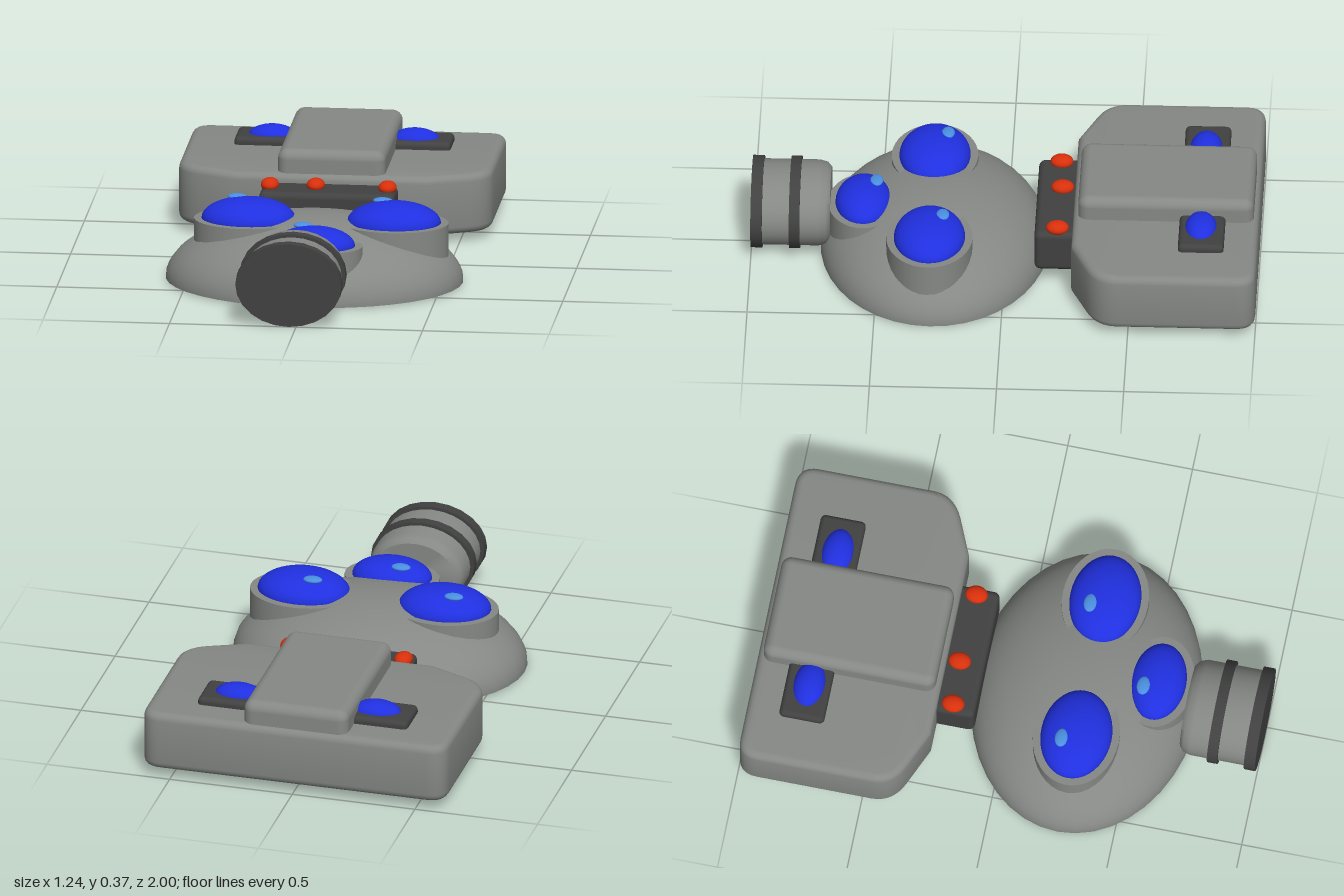
import * as THREE from 'three';
import { toCreasedNormals } from 'three/addons/utils/BufferGeometryUtils.js';
import { RoundedBoxGeometry } from 'three/addons/geometries/RoundedBoxGeometry.js';

const paint = (name, color) => {
  const m = new THREE.MeshStandardMaterial({ color });
  m.name = name;
  return m;
};

export function createModel() {
  const grey = paint('hull grey', 0x858884);
  const dark = paint('dark trim', 0x414141);
  const blue = paint('blue glass', 0x2030e0);
  const shine = paint('glass highlight', 0x4a8fe0);
  const red = paint('red lamp', 0xd8300c);

  const model = new THREE.Group();
  const add = (name, geometry, material, x, y, z, parent = model) => {
    const mesh = new THREE.Mesh(geometry, material);
    mesh.name = name;
    mesh.position.set(x, y, z);
    parent.add(mesh);
    return mesh;
  };
  const ellipsoid = (rx, ry, rz) => new THREE.SphereGeometry(1, 32, 20).scale(rx, ry, rz);
  // Upper half of an ellipsoid, closed underneath by a flat disc
  const halfEllipsoid = (name, material, rx, ry, rz, x, y, z, parent) => {
    const g = new THREE.SphereGeometry(1, 40, 16, 0, Math.PI * 2, 0, Math.PI / 2);
    add(name, g.scale(rx, ry, rz), material, x, y, z, parent);
  };

  // Domed head
  halfEllipsoid('headDome', grey, 0.587, 0.26, 0.45, -0.005, 0.01, 0.28);
  const base = new THREE.CircleGeometry(1, 40).rotateX(Math.PI / 2).scale(0.587, 1, 0.45);
  add('headBase', base, grey, -0.005, 0.01, 0.28);

  // Three bulging eyes in raised oval sockets
  const eye = (name, x, z, top, rx, rz, ry) => {
    const group = new THREE.Group();
    group.name = name;
    group.position.set(x, top, z);
    model.add(group);
    const depth = 0.16;
    const socket = new THREE.CylinderGeometry(1, 1, depth, 36).scale(rx + 0.03, 1, rz + 0.03);
    add(name + 'Socket', socket, grey, 0, -depth / 2, 0, group);
    halfEllipsoid(name + 'Lens', blue, rx, ry, rz, 0, 0, 0, group);
    add(name + 'Highlight', ellipsoid(0.038, 0.012, 0.026), shine, -0.05, ry * 0.89, -0.05, group);
  };
  eye('rightEye', -0.265, 0.29, 0.25, 0.185, 0.14, 0.082);
  eye('leftEye', 0.31, 0.29, 0.25, 0.185, 0.14, 0.082);
  eye('middleEye', 0.025, 0.56, 0.22, 0.16, 0.11, 0.075);

  // Oval snout tube with two dark bands
  const snout = new THREE.Group();
  snout.name = 'snout';
  snout.position.set(-0.03, 0.172, 0);
  model.add(snout);
  const profile = [[0, 0.69], [0.165, 0.69], [0.185, 0.705], [0.195, 0.735], [0.195, 0.98], [0, 0.98]]
    .map(([r, z]) => new THREE.Vector2(r, z));
  const tube = new THREE.LatheGeometry(profile, 28).rotateX(Math.PI / 2).scale(1, 0.8, 1);
  add('snoutTube', toCreasedNormals(tube, 0.7), grey, 0, 0, 0, snout);
  for (const [name, z, len] of [['snoutBand', 0.828, 0.042], ['snoutCap', 0.9775, 0.045]]) {
    const band = new THREE.CylinderGeometry(0.21, 0.21, len, 24).rotateX(Math.PI / 2).scale(1, 0.8, 1);
    add(name, band, dark, 0, 0, z, snout);
  }

  // Neck with three lamps
  add('neck', new RoundedBoxGeometry(0.535, 0.175, 0.19, 3, 0.025), dark, -0.003, 0.157, -0.215);
  for (const [x, z] of [[-0.235, -0.21], [-0.055, -0.22], [0.23, -0.21]]) {
    add('neckLamp', ellipsoid(0.036, 0.027, 0.045), red, x, 0.254, z);
  }

  // Broad body: bevelled slab with tapered front corners
  const s = new THREE.Shape();
  s.moveTo(-0.38, 0.27);
  s.lineTo(-0.53, 0.335);
  s.quadraticCurveTo(-0.62, 0.375, -0.62, 0.46);
  s.lineTo(-0.62, 0.92);
  s.quadraticCurveTo(-0.62, 1, -0.54, 1);
  s.lineTo(0.54, 1);
  s.quadraticCurveTo(0.62, 1, 0.62, 0.92);
  s.lineTo(0.62, 0.46);
  s.quadraticCurveTo(0.62, 0.375, 0.53, 0.335);
  s.lineTo(0.38, 0.27);
  s.closePath();
  const bevel = 0.03;
  const slab = new THREE.ExtrudeGeometry(s, {
    depth: 0.24 - 2 * bevel, bevelThickness: bevel, bevelSize: bevel, bevelOffset: -bevel,
    bevelSegments: 4, curveSegments: 8,
  }).rotateX(-Math.PI / 2);
  add('body', toCreasedNormals(slab, 0.5), grey, 0, 0.04 + bevel, 0);

  // Raised pack on the back
  add('backPack', new RoundedBoxGeometry(0.425, 0.22, 0.69, 4, 0.04), grey, -0.003, 0.262, -0.635);

  // Dark strip under the pack with a lens on each side
  add('lensStrip', new RoundedBoxGeometry(0.855, 0.08, 0.18, 3, 0.02), dark, -0.003, 0.27, -0.78);
  for (const [name, x] of [['rightRearLens', -0.285], ['leftRearLens', 0.278]]) {
    add(name, ellipsoid(0.1, 0.052, 0.064), blue, x, 0.294, -0.776);
  }
  return model;
}
